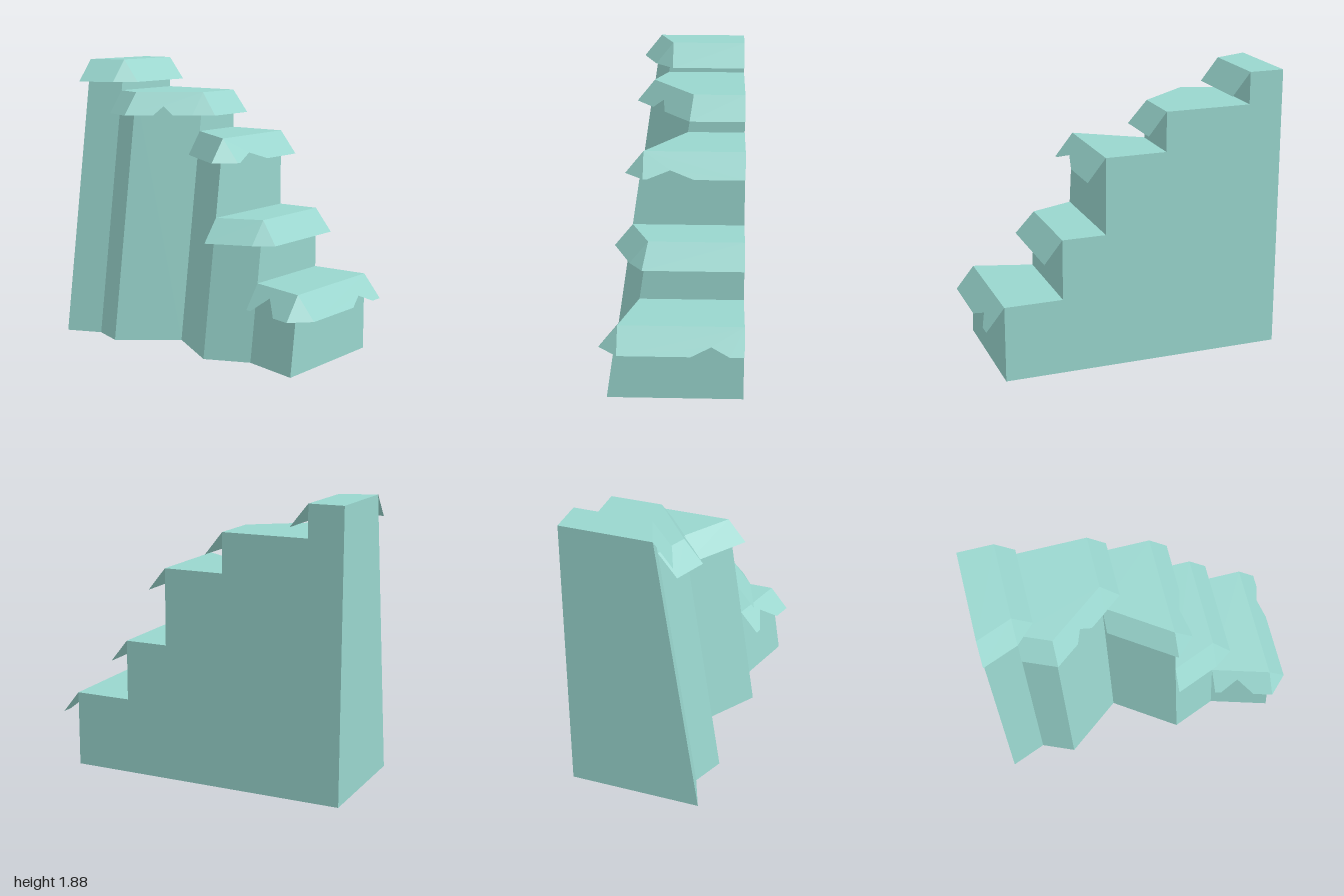
import * as THREE from 'three';

const SLANT = 0.146; // left wall leans towards +x by this much per unit of height
const RIGHT = 0.45;
const OUT = 0.12, DROP = 0.15; // overhang of the drapes

// left: base outline [x, z] from back to front
// sideNotch: [segment, points], frontNotch: points as [along, depth]
// miter: sideways shift of the front drape's lower left corner
const STEPS = [
  { top: 1.88, left: [[-0.41, -1], [-0.32, -0.77]] },
  { top: 1.67, left: [[-0.41, -0.56 - 0.21], [-0.41, -0.56], [-0.135, -0.2]], miter: -0.025,
    sideNotch: [1, [[0.42, 1], [0.51, 0.6], [0.72, 1]]] },
  { top: 1.41, left: [[-0.135, -0.2], [-0.41, 0.205]],
    frontNotch: [[0.04, 1], [0.267, 0.67], [0.5, 1]] },
  { top: 0.905, left: [[-0.41, 0.205], [-0.295, 0.495]], miter: -0.035 },
  { top: 0.505, left: [[-0.295, 0.495], [-0.41, 0.88]],
    sideNotch: [0, [[0.1, 1], [0.42, 0.38], [0.67, 1]]],
    frontNotch: [[0.58, 1], [0.74, 0.67], [0.885, 1]] },
];
STEPS[1].left[0][0] = -0.32; // shares the notch line with the top step

export function createModel() {
  const group = new THREE.Group();
  const stone = new THREE.MeshStandardMaterial({ color: 0x99d6ce, flatShading: true });
  const cloth = stone.clone();
  cloth.side = THREE.DoubleSide;

  const add = (parent, name, geometry, material) => {
    const mesh = new THREE.Mesh(geometry, material);
    mesh.name = name;
    parent.add(mesh);
  };

  // Solid step: extruded outline whose left wall leans inwards
  const stepBody = ({ top, left }) => {
    const back = left[0][1], front = left[left.length - 1][1];
    const outline = [...left, [RIGHT, front], [RIGHT, back]];
    const shape = new THREE.Shape(outline.map(([x, z]) => new THREE.Vector2(x, -z)));
    const geo = new THREE.ExtrudeGeometry(shape, { depth: top, bevelEnabled: false });
    geo.rotateX(-Math.PI / 2);
    const p = geo.attributes.position;
    for (let i = 0; i < p.count; i++) {
      if (p.getX(i) < RIGHT - 0.01) p.setX(i, p.getX(i) + SLANT * p.getY(i));
    }
    geo.computeVertexNormals();
    return geo;
  };

  // Sloping sheet between an upper edge a-b and a lower edge c-d, with an optional notch
  const sheet = (a, b, c, d, notch = []) => {
    const pts = [[0, 0], [0, 1], ...notch, [1, 1], [1, 0]];
    const geo = new THREE.ShapeGeometry(new THREE.Shape(pts.map(q => new THREE.Vector2(...q))));
    const p = geo.attributes.position;
    for (let i = 0; i < p.count; i++) {
      const u = p.getX(i), f = p.getY(i);
      const v = a.clone().lerp(b, u).lerp(c.clone().lerp(d, u), f);
      p.setXYZ(i, v.x, v.y, v.z);
    }
    geo.computeVertexNormals();
    return geo;
  };

  STEPS.forEach((step, n) => {
    const part = new THREE.Group();
    part.name = `step${STEPS.length - n}`;
    group.add(part);
    add(part, 'stepBody', stepBody(step), stone);

    // Side drapes along the left edge
    const upper = step.left.map(([x, z]) => new THREE.Vector3(x + SLANT * step.top, step.top, z));
    const lower = upper.map(v => v.clone().add(new THREE.Vector3(-OUT, -DROP, 0)));
    for (let i = 0; i < upper.length - 1; i++) {
      const notch = step.sideNotch && step.sideNotch[0] === i ? step.sideNotch[1] : [];
      add(part, 'sideDrape', sheet(upper[i], upper[i + 1], lower[i], lower[i + 1], notch), cloth);
    }

    // Front drape
    const corner = upper[upper.length - 1], sideTip = lower[lower.length - 1];
    const end = new THREE.Vector3(RIGHT, corner.y, corner.z);
    const frontTip = corner.clone().add(new THREE.Vector3(step.miter || 0, -DROP, OUT));
    const endTip = end.clone().add(new THREE.Vector3(0, -DROP, OUT));
    add(part, 'frontDrape', sheet(corner, end, frontTip, endTip, step.frontNotch), cloth);

    // Corner gusset joining both drapes
    const gusset = new THREE.BufferGeometry().setFromPoints([corner, sideTip, frontTip]);
    gusset.computeVertexNormals();
    add(part, 'cornerDrape', gusset, cloth);
  });

  return group;
}
